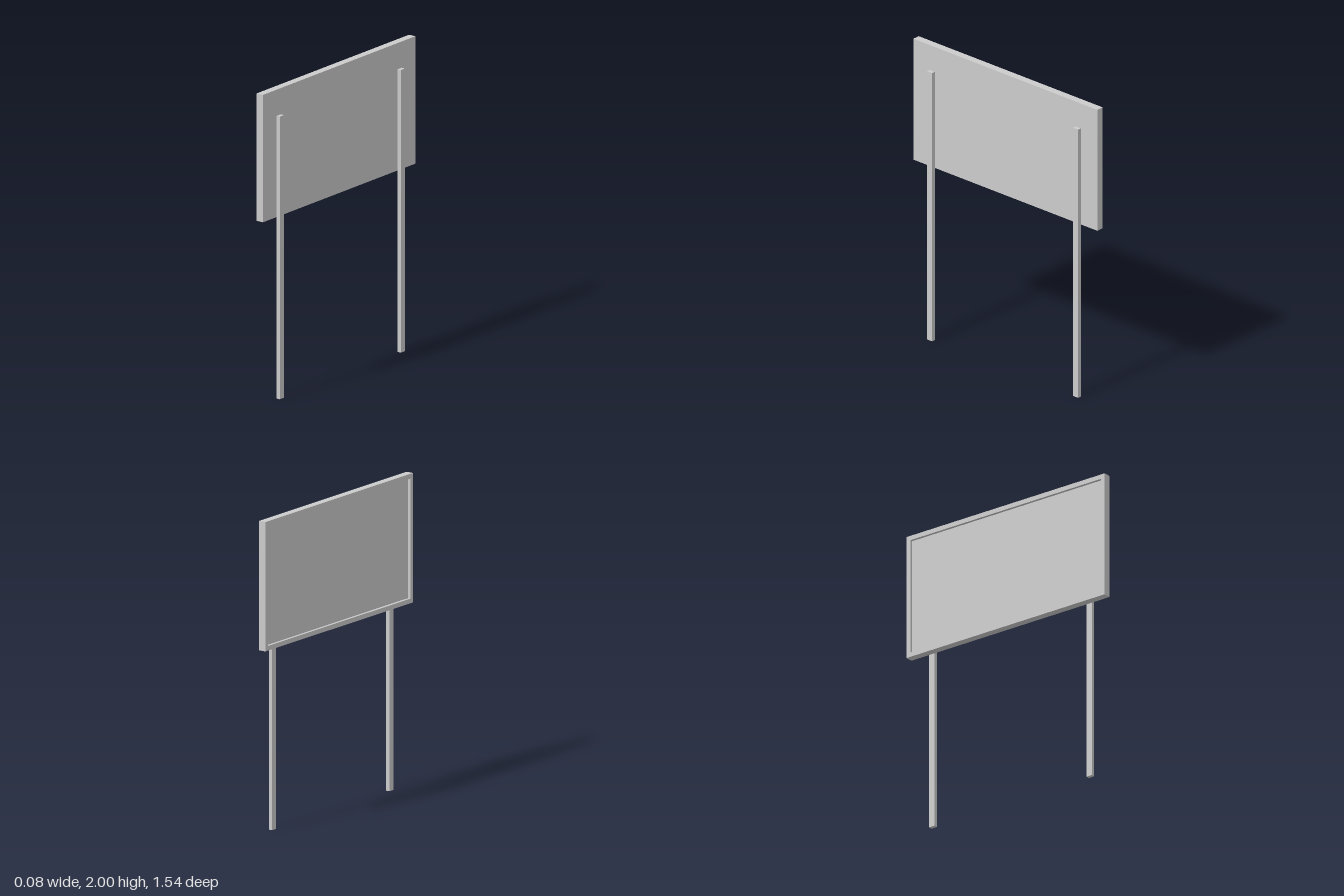
import * as THREE from 'three';

export function createModel() {
  const model = new THREE.Group();
  const material = new THREE.MeshStandardMaterial({ color: 0xcccccc, flatShading: true });

  function addBox(name, [x0, x1], [y0, y1], [z0, z1]) {
    const mesh = new THREE.Mesh(new THREE.BoxGeometry(x1 - x0, y1 - y0, z1 - z0), material);
    mesh.position.set((x0 + x1) / 2, (y0 + y1) / 2, (z0 + z1) / 2);
    mesh.name = name;
    model.add(mesh);
  }

  const face = -0.0375, recess = -0.0195, back = 0.0125; // panel depths along x
  const bottom = 1.175, top = 2, half = 0.77, rim = 0.03;

  // Display panel, set back behind the rim
  addBox('panel', [recess, back], [bottom, top], [-half, half]);

  // Raised rim around the display face
  const shape = new THREE.Shape([
    new THREE.Vector2(-half, bottom), new THREE.Vector2(half, bottom),
    new THREE.Vector2(half, top), new THREE.Vector2(-half, top),
  ]);
  shape.holes.push(new THREE.Path([
    new THREE.Vector2(-half + rim, bottom + rim), new THREE.Vector2(-half + rim, top - rim),
    new THREE.Vector2(half - rim, top - rim), new THREE.Vector2(half - rim, bottom + rim),
  ]));
  const frame = new THREE.Mesh(
    new THREE.ExtrudeGeometry(shape, { depth: recess - face, bevelEnabled: false }), material);
  frame.name = 'frame';
  frame.rotation.y = -Math.PI / 2; // extrude towards -x
  frame.position.x = recess;
  model.add(frame);

  // Two square posts fixed to the rear of the panel
  for (const side of [-1, 1]) {
    const z = side * 0.611;
    addBox(side > 0 ? 'frontPost' : 'backPost', [back, 0.0375], [0, 1.83], [z - 0.021, z + 0.021]);
  }

  return model;
}
